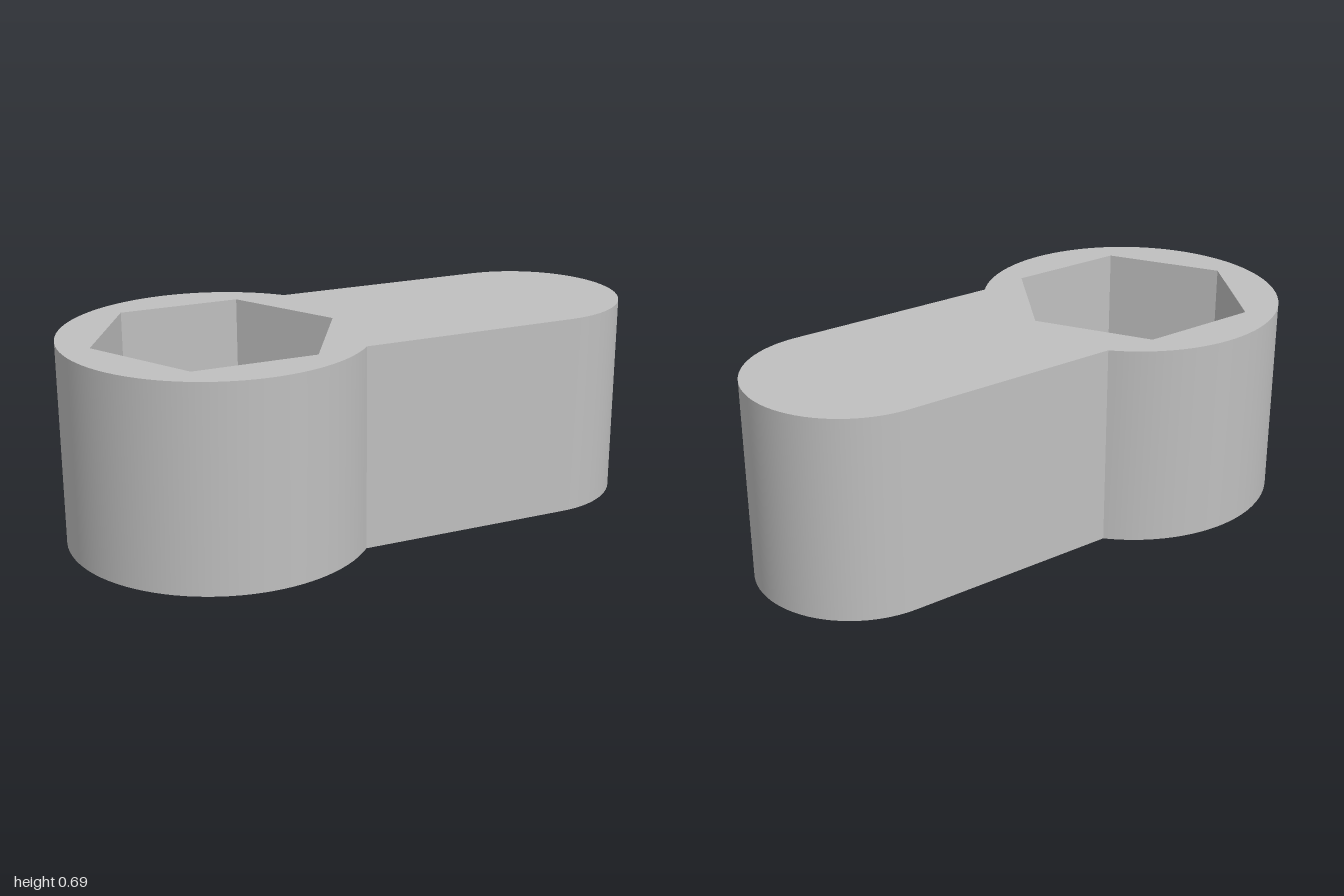
import * as THREE from 'three';
import { toCreasedNormals } from 'three/addons/utils/BufferGeometryUtils.js';

const HEIGHT = 0.695, SHOULDER = 0.174; // overall height, floor of the hex pocket
const HUB_X = -0.485, HUB_R = 0.515, ARM_X = 0.655, ARM_R = 0.345;
const HEX_R = 0.417, BORE_R = 0.225;

// Points along an arc, counter-clockwise, both ends included
function arc(cx, r, from, to, n) {
  return Array.from({ length: n + 1 }, (_, i) => {
    const a = from + (to - from) * i / n;
    return new THREE.Vector2(cx + r * Math.cos(a), r * Math.sin(a));
  });
}

// Closed ring of points
const ring = (cx, r, n) => arc(cx, r, 0, Math.PI * 2, n).slice(0, n);

// Vertical wall around a closed outline; counter-clockwise outlines face outward
function wall(points, y0, y1) {
  const pos = [];
  points.forEach((a, i) => {
    const b = points[(i + 1) % points.length];
    pos.push(a.x, y0, -a.y, b.x, y0, -b.y, b.x, y1, -b.y);
    pos.push(a.x, y0, -a.y, b.x, y1, -b.y, a.x, y1, -a.y);
  });
  const geo = new THREE.BufferGeometry();
  geo.setAttribute('position', new THREE.Float32BufferAttribute(pos, 3));
  return toCreasedNormals(geo, 0.5);
}

// Flat horizontal face with one hole
function cap(outline, hole, y, up = true) {
  const shape = new THREE.Shape(outline);
  shape.holes.push(new THREE.Path(hole));
  return new THREE.ShapeGeometry(shape).rotateX(up ? -Math.PI / 2 : Math.PI / 2).translate(0, y, 0);
}

export function createModel() {
  const metal = new THREE.MeshStandardMaterial({ color: 0xbfbfbf });
  metal.name = 'grey metal';
  const group = new THREE.Group();
  group.name = 'hexSocketLever';
  const add = (name, geo) => {
    const mesh = new THREE.Mesh(geo, metal);
    mesh.name = name;
    group.add(mesh);
  };

  // Keyhole outline: round hub joined to a round-ended arm
  const join = Math.asin(ARM_R / HUB_R);
  const outline = [
    ...arc(HUB_X, HUB_R, join, Math.PI * 2 - join, 72),
    ...arc(ARM_X, ARM_R, -Math.PI / 2, Math.PI / 2, 40),
  ];
  const hex = ring(HUB_X, HEX_R, 6);
  const bore = ring(HUB_X, BORE_R, 64);

  add('outerWall', wall(outline, 0, HEIGHT));
  add('topFace', cap(outline, hex, HEIGHT));
  add('bottomFace', cap(outline, bore, 0, false));

  // Hex pocket from above, round bore through its floor
  add('hexPocketWall', wall([...hex].reverse(), SHOULDER, HEIGHT));
  add('hexPocketFloor', cap(hex, bore, SHOULDER));
  add('boreWall', wall([...bore].reverse(), 0, SHOULDER));
  return group;
}
